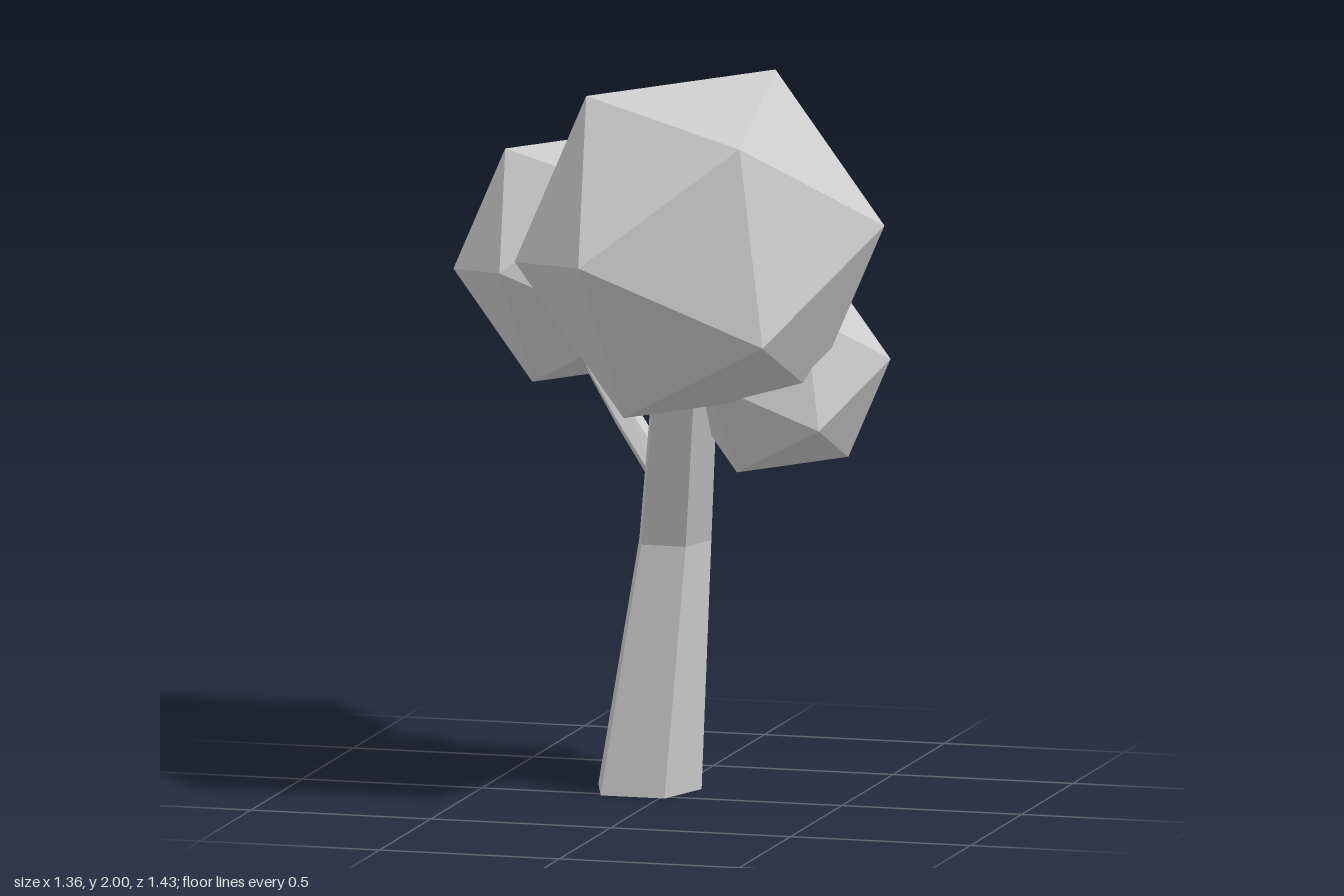
import * as THREE from 'three';

const material = new THREE.MeshStandardMaterial({ color: 0xcccccc, flatShading: true });

// Five-sided limb: a cylinder whose rings are moved to [x, y, z, radius].
// Rings stay level unless "tilt" turns them across the limb's direction.
function limb(name, rings, tilt) {
  const geometry = new THREE.CylinderGeometry(1, 1, 1, 5, rings.length - 1, false, Math.PI);
  const up = new THREE.Vector3(0, 1, 0);
  const centres = rings.map(([x, y, z]) => new THREE.Vector3(x, y, z));
  const turns = rings.map((_, i) => {
    const from = centres[Math.max(i - 1, 0)];
    const to = centres[Math.min(i + 1, rings.length - 1)];
    const turn = new THREE.Quaternion();
    return tilt ? turn.setFromUnitVectors(up, to.clone().sub(from).normalize()) : turn;
  });
  const position = geometry.attributes.position;
  const v = new THREE.Vector3();
  for (let i = 0; i < position.count; i++) {
    v.fromBufferAttribute(position, i);
    const ring = Math.round((v.y + 0.5) * (rings.length - 1));
    v.setY(0).multiplyScalar(rings[ring][3]).applyQuaternion(turns[ring]).add(centres[ring]);
    position.setXYZ(i, v.x, v.y, v.z);
  }
  geometry.computeVertexNormals();
  const mesh = new THREE.Mesh(geometry, material);
  mesh.name = name;
  return mesh;
}

// Shared tilt of the foliage, set by two neighbouring corners
function foliageTilt() {
  const a = new THREE.Vector3(0.159, 0.45, -0.183).normalize();
  const b = new THREE.Vector3(0.206, 0.32, 0.337).normalize();
  const x = b.clone().sub(a).normalize();
  const y = b.clone().add(a).normalize();
  const z = x.clone().cross(y).normalize();
  return new THREE.Quaternion().setFromRotationMatrix(new THREE.Matrix4().makeBasis(x, y, z));
}

export function createModel() {
  const tree = new THREE.Group();
  tree.name = 'tree';

  // Bent trunk leaning into the large crown
  tree.add(limb('trunk', [
    [-0.074, 0, -0.097, 0.151],
    [0.01, 0.685, -0.065, 0.105],
    [0.12, 1.25, 0.205, 0.093],
  ], false));

  // Thin side branch carrying the rear crown
  tree.add(limb('branch', [
    [0.03, 0.83, 0, 0.04],
    [-0.165, 0.99, -0.225, 0.038],
    [-0.3, 1.17, -0.305, 0.038],
  ], true));

  // Faceted crowns
  const tilt = foliageTilt();
  const crowns = [
    ['largeCrown', 0.511, 0.174, 1.55, 0.243],
    ['rearCrown', 0.37, -0.315, 1.39, -0.378],
    ['smallCrown', 0.301, 0.333, 1.175, 0],
  ];
  for (const [name, radius, x, y, z] of crowns) {
    const crown = new THREE.Mesh(new THREE.IcosahedronGeometry(radius, 0), material);
    crown.name = name;
    crown.position.set(x, y, z);
    crown.quaternion.copy(tilt);
    tree.add(crown);
  }
  return tree;
}
